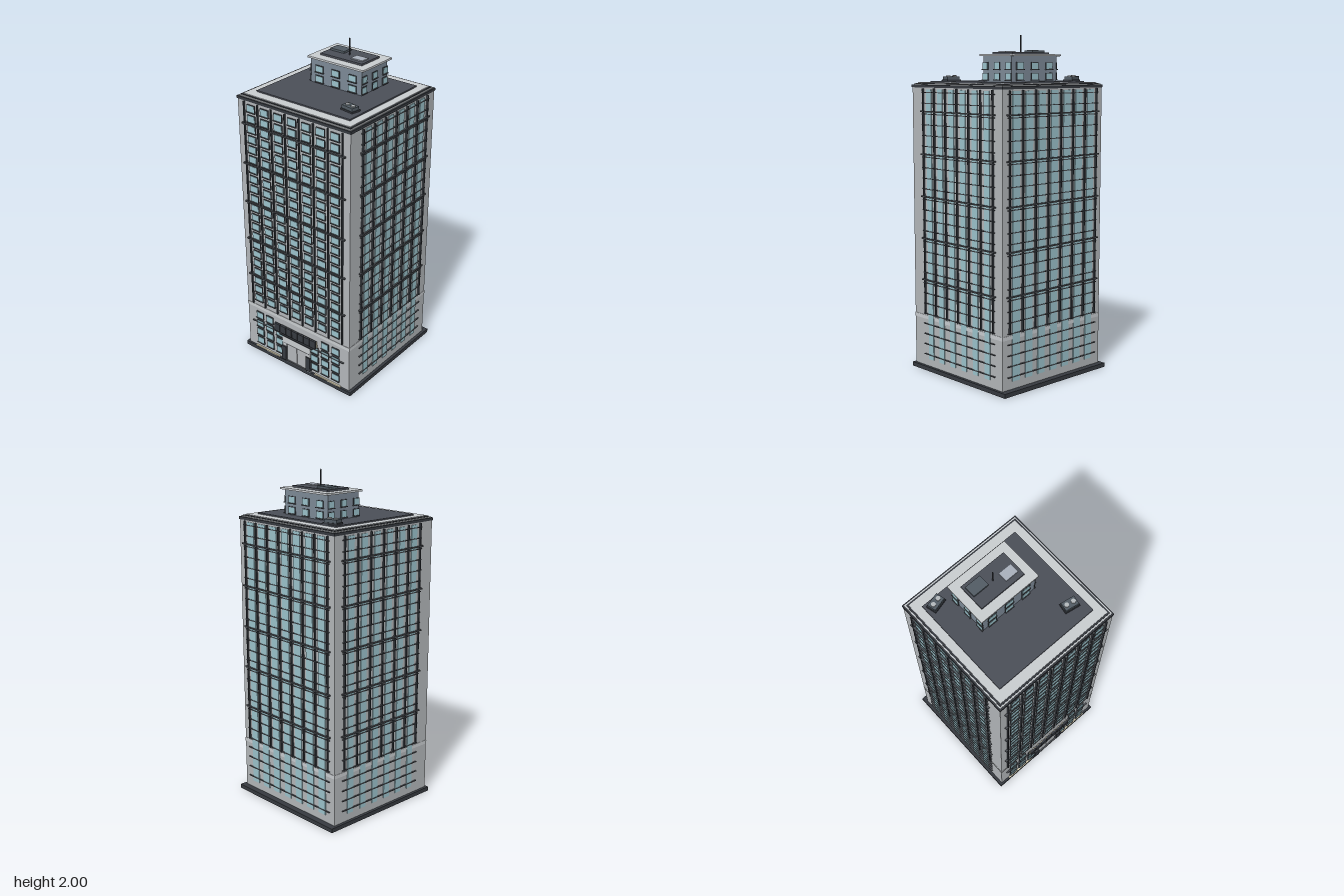
import * as THREE from 'three';
import { mergeGeometries } from 'three/addons/utils/BufferGeometryUtils.js';

const C = { wall: 0xb3b7ba, light: 0xc9cdd0, dark: 0x363a40, roof: 0x4b4f58, glass: 0x9cc3cc,
  slate: 0x525c64, blue: 0x7d8a97, cream: 0xd8d0b4, line: 0x4a4d52 };

// Boxes given as [x, y, z, width, height, depth], merged into one named mesh
function boxes(name, color, list) {
  const geo = mergeGeometries(list.map(([x, y, z, w, h, d]) =>
    new THREE.BoxGeometry(w, h, d).translate(x, y, z)));
  const mesh = new THREE.Mesh(geo, new THREE.MeshStandardMaterial({ color }));
  mesh.name = name;
  return mesh;
}

// Box given by its bottom and top heights
const slab = (name, color, w, d, y0, y1, x = 0, z = 0.005) =>
  boxes(name, color, [[x, (y0 + y1) / 2, z, w, y1 - y0, d]]);

const row = (n, step, from = -(n - 1) * step / 2) => Array.from({ length: n }, (_, i) => from + i * step);
const FLOOR = 0.063;
const BANDS = row(5, 0.251, 0.557);

// Framed windows with a sill, on the plane z = 0 facing +z
function windows(points, w, h) {
  const g = new THREE.Group();
  g.name = 'windows';
  g.add(
    boxes('windowFrames', C.dark, points.map(([x, y]) => [x, y, 0.002, w + 0.006, h + 0.006, 0.006])),
    boxes('windowGlass', C.glass, points.map(([x, y]) => [x, y, 0.004, w, h, 0.006])),
    boxes('windowSills', C.line, points.map(([x, y]) => [x, y - h / 2 - 0.004, 0.005, w + 0.01, 0.005, 0.01])));
  return g;
}

// Upright ribs between columns and the five wide belts
function ribsAndBelts(columns, step) {
  const g = new THREE.Group();
  g.name = 'ribsAndBelts';
  g.add(
    boxes('ribs', C.dark, row(columns + 1, step).map(x => [x, 1.02, 0.004, 0.007, 1.35, 0.012])),
    boxes('belts', C.line, BANDS.map(y => [0, y, 0.005, columns * step + 0.04, 0.008, 0.014])));
  return g;
}

// Side and back walls: tall glass strips crossed by floor lines
function stripFacade(name, columns, step, glassWidth) {
  const g = new THREE.Group();
  g.name = name;
  g.add(
    boxes('glassStrips', C.glass, row(columns, step).map(x => [x, 0.88, 0.001, glassWidth, 1.62, 0.006])),
    boxes('floorLines', C.line, row(26, FLOOR, 0.097).map(y => [0, y, 0.003, columns * step + 0.025, 0.005, 0.008])),
    ribsAndBelts(columns, step));
  return g;
}

function frontFacade() {
  const g = new THREE.Group();
  g.name = 'frontFacade';
  const upper = [], lower = [];
  for (const y of row(21, FLOOR, 0.4)) for (const x of row(7, 0.1)) upper.push([x, y]);
  for (const y of row(4, FLOOR, 0.08))
    for (const x of [0.14, 0.22, 0.3])
      if (x > 0.2 || y < 0.23) lower.push([x, y], [-x, y]);
  g.add(windows(upper, 0.054, 0.038), windows(lower, 0.05, 0.04), ribsAndBelts(7, 0.1));
  g.add(boxes('podiumBelts', C.line, [-1, 1].map(s => [s * 0.245, 0.212, 0.004, 0.23, 0.005, 0.01])));
  g.add(boxes('podiumTrim', C.cream, [-1, 1].map(s => [s * 0.24, 0.028, 0.006, 0.2, 0.006, 0.01])));
  return g;
}

function entrance() {
  const g = new THREE.Group();
  g.name = 'entrance';
  g.add(
    boxes('portal', C.light, [[0, 0.185, 0.005, 0.22, 0.05, 0.014],
      [-0.095, 0.115, 0.005, 0.03, 0.18, 0.012], [0.095, 0.115, 0.005, 0.03, 0.18, 0.012]]),
    boxes('doors', C.wall, [[-0.04, 0.09, 0.002, 0.076, 0.13, 0.008], [0.04, 0.09, 0.002, 0.076, 0.13, 0.008]]),
    boxes('doorLintel', C.line, [[0, 0.158, 0.006, 0.2, 0.005, 0.012]]),
    boxes('canopy', C.dark, [[0, 0.212, 0.008, 0.26, 0.008, 0.02]]),
    boxes('doorPillars', C.dark, [-1, 1].map(s => [s * 0.096, 0.085, 0.01, 0.034, 0.1, 0.02])),
    boxes('steps', C.line, [[0, 0.029, 0.008, 0.16, 0.008, 0.016]]));
  // Blank sign board made of plain panels on a rail
  g.add(
    boxes('signBack', C.cream, [[0, 0.26, 0.012, 0.33, 0.044, 0.008]]),
    boxes('signPanels', C.dark, row(7, 0.047).map(x => [x, 0.26, 0.019, 0.042, 0.052, 0.014])));
  return g;
}

function penthouse() {
  const g = new THREE.Group();
  g.name = 'penthouse';
  const z = -0.105;
  g.add(
    slab('penthouseWalls', C.blue, 0.36, 0.236, 1.73, 1.885, 0, z),
    slab('penthouseRoof', C.light, 0.394, 0.27, 1.88, 1.891, 0, -0.11),
    slab('penthouseRoofing', C.roof, 0.294, 0.164, 1.89, 1.902, 0, -0.112),
    slab('hatch', C.slate, 0.1, 0.068, 1.9, 1.914, -0.085, -0.138),
    slab('skylight', 0xa9b0bc, 0.08, 0.056, 1.9, 1.908, 0.087, -0.088));
  for (let i = 0; i < 4; i++) {
    const side = i % 2, points = [];
    for (const y of [1.765, 1.825]) for (const x of row(3, side ? 0.097 : 0.117)) points.push([x, y]);
    const w = windows(points, side ? 0.04 : 0.05, 0.034);
    const pivot = new THREE.Group();
    w.position.z = side ? 0.18 : 0.118;
    pivot.name = 'penthouseSide';
    pivot.position.z = z;
    pivot.rotation.y = i * Math.PI / 2;
    pivot.add(w);
    g.add(pivot);
  }
  const antenna = new THREE.Mesh(new THREE.CylinderGeometry(0.003, 0.004, 0.1, 8),
    new THREE.MeshStandardMaterial({ color: C.dark }));
  antenna.name = 'antenna';
  antenna.position.set(0, 1.95, -0.11);
  g.add(antenna);
  return g;
}

function coolingUnit(x, z, turn) {
  const g = new THREE.Group();
  g.name = 'coolingUnit';
  g.add(
    slab('unitBase', C.dark, 0.092, 0.062, 0, 0.01, 0, 0),
    slab('unitBody', C.slate, 0.082, 0.052, 0.008, 0.028, 0, 0));
  for (const s of [-1, 1]) {
    const fan = new THREE.Mesh(new THREE.CylinderGeometry(0.013, 0.013, 0.006, 16),
      new THREE.MeshStandardMaterial({ color: 0xb4b9bc }));
    fan.name = 'fan';
    fan.position.set(s * 0.021, 0.031, 0);
    g.add(fan);
  }
  g.position.set(x, 1.736, z);
  g.rotation.y = turn;
  return g;
}

export function createModel() {
  const model = new THREE.Group();
  model.name = 'officeTower';

  // Plinth, tower and stacked roof layers
  model.add(
    slab('plinth', C.dark, 0.836, 0.826, 0, 0.025, 0, -0.007),
    slab('tower', C.wall, 0.8, 0.776, 0.02, 1.702),
    slab('podiumBand', C.light, 0.804, 0.78, 0.315, 0.338),
    slab('cornice', C.dark, 0.808, 0.784, 1.7, 1.716),
    slab('parapet', C.light, 0.79, 0.766, 1.71, 1.721),
    slab('roofGutter', C.dark, 0.776, 0.75, 1.71, 1.725),
    slab('roofBorder', C.light, 0.756, 0.73, 1.71, 1.729),
    slab('roofing', C.roof, 0.66, 0.616, 1.71, 1.737, 0, 0.003));

  // Four walls
  const front = frontFacade(), door = entrance();
  front.position.z = door.position.z = 0.394;
  const back = stripFacade('backFacade', 7, 0.1, 0.056);
  back.position.z = -0.384;
  back.rotation.y = Math.PI;
  model.add(front, door, back);
  for (const s of [-1, 1]) {
    const side = stripFacade(s > 0 ? 'leftFacade' : 'rightFacade', 6, 0.1, 0.045);
    side.position.set(s * 0.401, 0, -0.01);
    side.rotation.y = s * Math.PI / 2;
    model.add(side);
  }

  // Roof equipment
  model.add(penthouse(), coolingUnit(-0.265, -0.267, 0.25), coolingUnit(0.255, 0.21, -0.17));
  return model;
}
